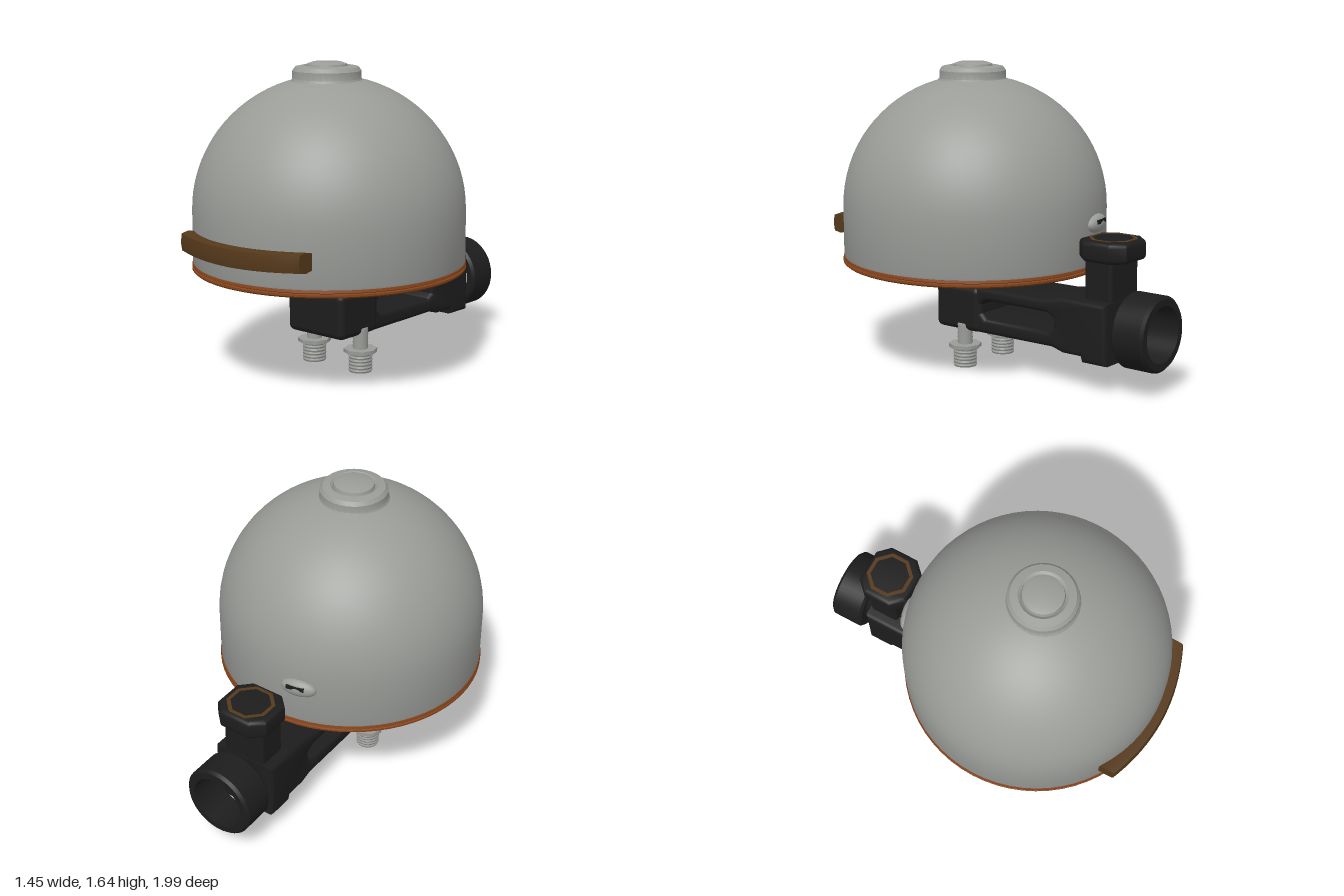
import * as THREE from 'three';
import { RoundedBoxGeometry } from 'three/addons/geometries/RoundedBoxGeometry.js';
import { toCreasedNormals } from 'three/addons/utils/BufferGeometryUtils.js';

const paint = (name, color) => {
  const m = new THREE.MeshStandardMaterial({ color });
  m.name = name;
  return m;
};

export function createModel() {
  const group = new THREE.Group();
  const steel = paint('brushed steel', 0x9a9c98);
  const black = paint('black plastic', 0x1d1d1d);
  const rust = paint('rust orange', 0x84431a);
  const brown = paint('brown', 0x55391b);

  const add = (name, geometry, material, x = 0, y = 0, z = 0, parent = group) => {
    const mesh = new THREE.Mesh(geometry, material);
    mesh.name = name;
    mesh.position.set(x, y, z);
    parent.add(mesh);
    return mesh;
  };
  const lathe = (points, segments = 48) => toCreasedNormals(
    new THREE.LatheGeometry(points.map(([r, y]) => new THREE.Vector2(r, y)), segments), 0.6);
  // Threaded rod: a zigzag profile between two heights
  const thread = (r, y0, y1, turns) => {
    const points = [[0, y0]];
    for (let i = 0; i <= turns * 2; i++) {
      points.push([i % 2 ? r : r * 0.94, y0 + (y1 - y0) * i / (turns * 2)]);
    }
    points.push([0, y1]);
    return lathe(points, 20);
  };

  const bellZ = 0.225, stemZ = 0.165;

  // Bell dome: straight skirt, elliptical crown, flat underside
  const dome = [[0, 0.595], [0.715, 0.595], [0.72, 0.61], [0.72, 0.87]];
  for (let i = 1; i <= 20; i++) {
    const a = i / 20 * Math.PI / 2;
    dome.push([Math.max(0, 0.72 * Math.cos(a)), 0.87 + 0.705 * Math.sin(a)]);
  }
  add('bellDome', lathe(dome, 64), steel, 0, 0, bellZ);
  add('bellCap', lathe([[0.2, 1.53], [0.18, 1.56], [0.18, 1.6], [0.165, 1.62], [0.125, 1.628],
    [0.11, 1.615], [0.105, 1.635], [0.075, 1.645], [0, 1.645]], 32), steel, 0, 0, 0.24);

  // Base rim with a lipped edge
  add('baseRim', lathe([[0.69, 0.595], [0.69, 0.565], [0.715, 0.56], [0.725, 0.568], [0.725, 0.578],
    [0.715, 0.582], [0.725, 0.587], [0.722, 0.6], [0.69, 0.6]], 64), rust, 0, 0, bellZ);
  add('basePlate', new THREE.CylinderGeometry(0.695, 0.695, 0.02, 64), steel, 0, 0.586, bellZ);

  // Curved striker lever, a rounded box bent around the front of the bell
  const lever = new RoundedBoxGeometry(0.82, 0.1, 0.1, 3, 0.025);
  const bent = new THREE.BoxGeometry(0.82, 0.1, 0.1, 24, 2, 2);
  lever.dispose();
  const p = bent.attributes.position;
  for (let i = 0; i < p.count; i++) {
    const x = p.getX(i), t = Math.abs(x) / 0.41;
    const edge = Math.abs(p.getY(i)) > 0.04 && Math.abs(p.getZ(i)) > 0.04 ? 0.85 : 1;
    p.setY(i, p.getY(i) * edge * (1.08 - 0.04 * t) + 0.01 * t * t);
    p.setZ(i, p.getZ(i) * edge - 0.085 * t * t);
  }
  bent.computeVertexNormals();
  add('strikerLever', toCreasedNormals(bent, 0.7), brown, 0, 0.733, 0.945);

  // Small latch at the back of the dome
  const latch = add('rearLatch', new THREE.SphereGeometry(1, 20, 12), steel, -0.15, 0.82, -0.478);
  latch.scale.set(0.1, 0.05, 0.04);
  latch.rotation.y = 0.2;
  add('latchSlit', new THREE.BoxGeometry(0.1, 0.022, 0.009), black, -0.15, 0.835, -0.512).rotation.y = 0.2;

  // Threaded stem under the bell
  add('stem', thread(0.112, 0.42, 0.59, 7), steel, 0, 0, stemZ);

  // Clamp arm: side profile with a slot, extruded across the width
  const arm = new THREE.Shape();
  [[0.345, 0.23], [0.345, 0.42], [0.32, 0.45], [-0.36, 0.455], [-0.49, 0.48], [-0.77, 0.48],
    [-0.77, 0.155], [-0.62, 0.155], [-0.61, 0.185], [-0.5, 0.185], [-0.43, 0.205], [0.32, 0.2]]
    .forEach(([z, y], i) => i ? arm.lineTo(z, y) : arm.moveTo(z, y));
  arm.closePath();
  const slot = new THREE.Path();
  [[0.04, 0.31], [0.01, 0.285], [-0.41, 0.285], [-0.44, 0.31], [-0.44, 0.36], [-0.4, 0.385], [0.01, 0.385], [0.04, 0.36]]
    .forEach(([z, y], i) => i ? slot.lineTo(z, y) : slot.moveTo(z, y));
  slot.closePath();
  arm.holes.push(slot);
  const bevel = 0.025, width = 0.37;
  const armGeometry = new THREE.ExtrudeGeometry(arm, {
    depth: width - 2 * bevel, bevelThickness: bevel, bevelSize: bevel, bevelOffset: -bevel, bevelSegments: 3
  });
  armGeometry.translate(0, 0, bevel - width / 2).rotateY(-Math.PI / 2);
  add('clampArm', toCreasedNormals(armGeometry, 0.6), black);
  add('clampHead', new RoundedBoxGeometry(0.39, 0.25, 0.3, 3, 0.035), black, 0, 0.325, 0.2);

  // Tightening knob on its post
  add('knobPost', new RoundedBoxGeometry(0.25, 0.32, 0.17, 2, 0.02), black, 0, 0.56, -0.68);
  const knob = new THREE.Shape();
  [[-0.155, -0.08], [-0.155, 0.08], [-0.09, 0.145], [0.09, 0.145], [0.155, 0.08], [0.155, -0.08], [0.09, -0.145], [-0.09, -0.145]]
    .reverse().forEach(([x, y], i) => i ? knob.lineTo(x, y) : knob.moveTo(x, y));
  const knobGeometry = new THREE.ExtrudeGeometry(knob, {
    depth: 0.06, bevelThickness: 0.025, bevelSize: 0.025, bevelOffset: -0.025, bevelSegments: 3
  });
  knobGeometry.rotateX(-Math.PI / 2);
  add('knob', toCreasedNormals(knobGeometry, 0.6), black, 0, 0.705, -0.685);
  const inlay = new THREE.RingGeometry(0.108, 0.13, 8, 1, Math.PI / 8);
  add('knobInlay', inlay.rotateX(-Math.PI / 2), brown, 0, 0.793, -0.688);

  // Open clamp ring at the back
  const ring = lathe([[0.15, -0.095], [0.185, -0.095], [0.2, -0.08], [0.2, 0.08], [0.185, 0.095],
    [0.15, 0.095], [0.15, -0.095]], 40);
  add('clampRing', ring.rotateX(Math.PI / 2), black, 0, 0.328, -0.903);

  // Two mounting bolts with washers and threaded ends
  for (const side of [-1, 1]) {
    const bolt = new THREE.Group();
    bolt.name = side > 0 ? 'leftBolt' : 'rightBolt';
    bolt.position.set(side * 0.165, 0, stemZ);
    group.add(bolt);
    add('boltShaft', thread(0.042, 0.1, 0.24, 6), steel, 0, 0, 0, bolt);
    add('washer', new THREE.CylinderGeometry(0.09, 0.09, 0.02, 8), steel, 0, 0.115, 0, bolt);
    add('boltEnd', thread(0.065, 0, 0.11, 6), steel, 0, 0, 0, bolt);
  }
  return group;
}
